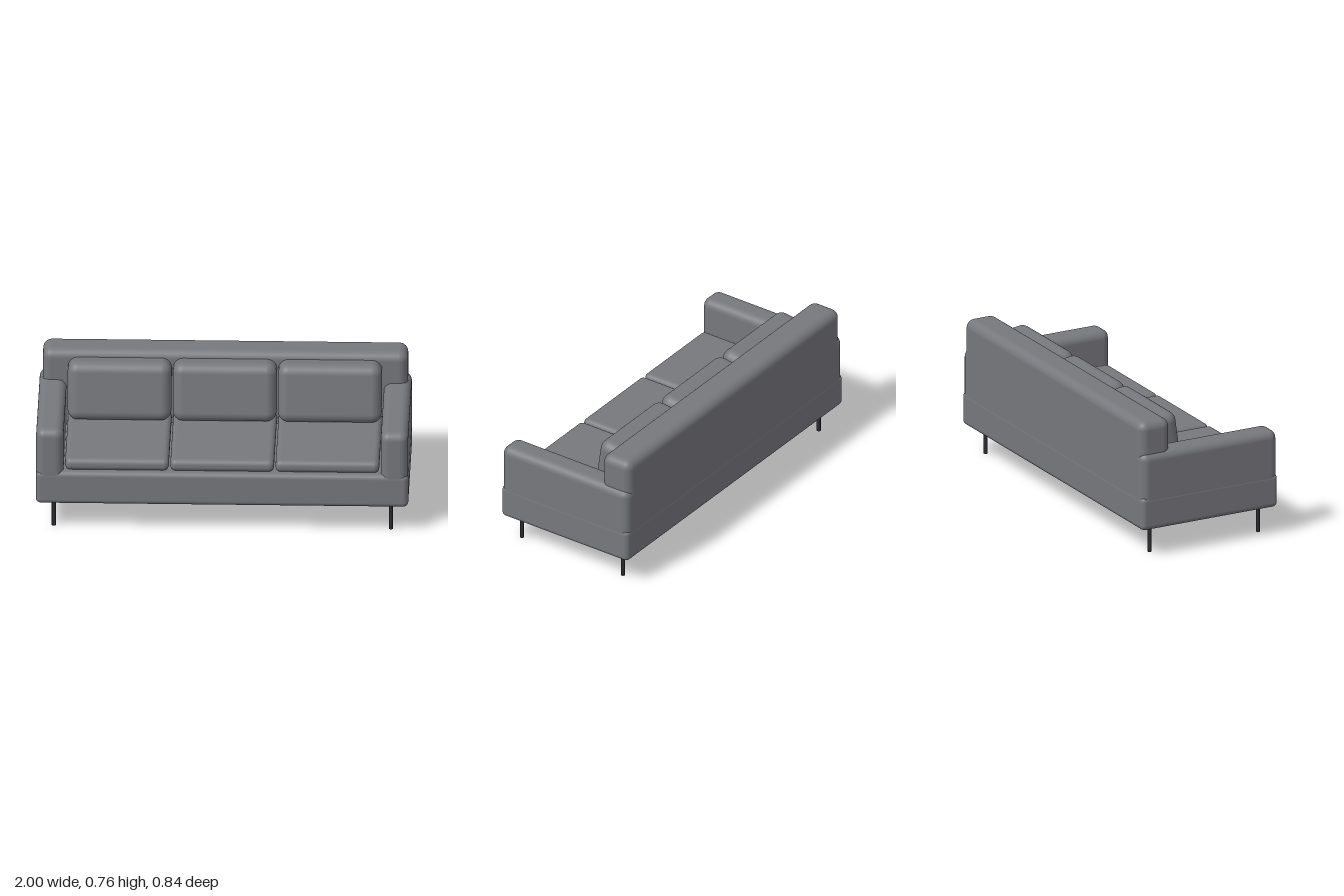
import * as THREE from 'three';
import { RoundedBoxGeometry } from 'three/addons/geometries/RoundedBoxGeometry.js';

export function createModel() {
  const sofa = new THREE.Group();
  sofa.name = 'sofa';

  const fabric = new THREE.MeshStandardMaterial({ color: 0x77787d });
  fabric.name = 'grey fabric';
  const metal = new THREE.MeshStandardMaterial({ color: 0x2b2a30 });
  metal.name = 'dark metal';

  // Softly rounded upholstered block, given by its size and centre
  function block(name, size, centre, radius, tilt = 0) {
    const mesh = new THREE.Mesh(new RoundedBoxGeometry(...size, 5, radius), fabric);
    mesh.name = name;
    mesh.position.set(...centre);
    mesh.rotation.x = tilt;
    sofa.add(mesh);
  }

  // Frame: base, backrest and two arms
  block('base', [2, 0.19, 0.836], [0, 0.25, 0], 0.028);
  block('backrest', [1.96, 0.563, 0.187], [0, 0.4815, -0.3235], 0.048);
  for (const side of [-1, 1]) {
    const name = side > 0 ? 'leftArm' : 'rightArm';
    block(name, [0.147, 0.39, 0.834], [side * 0.9255, 0.395, 0], 0.045);
  }

  // Three seat cushions with leaning back cushions
  for (let i = -1; i <= 1; i++) {
    const x = i * 0.565;
    block('seatCushion', [0.557, 0.068, 0.65], [x, 0.377, 0.07], 0.03);
    block('backCushion', [0.557, 0.327, 0.18], [x, 0.5676, -0.18], 0.055, -0.14);
  }

  // Thin round legs
  const legShape = new THREE.CylinderGeometry(0.011, 0.011, 0.17, 20);
  for (const x of [-0.905, 0.905]) {
    for (const z of [0.344, -0.322]) {
      const leg = new THREE.Mesh(legShape, metal);
      leg.name = z > 0 ? 'frontLeg' : 'backLeg';
      leg.position.set(x, 0.085, z);
      sofa.add(leg);
    }
  }
  return sofa;
}
